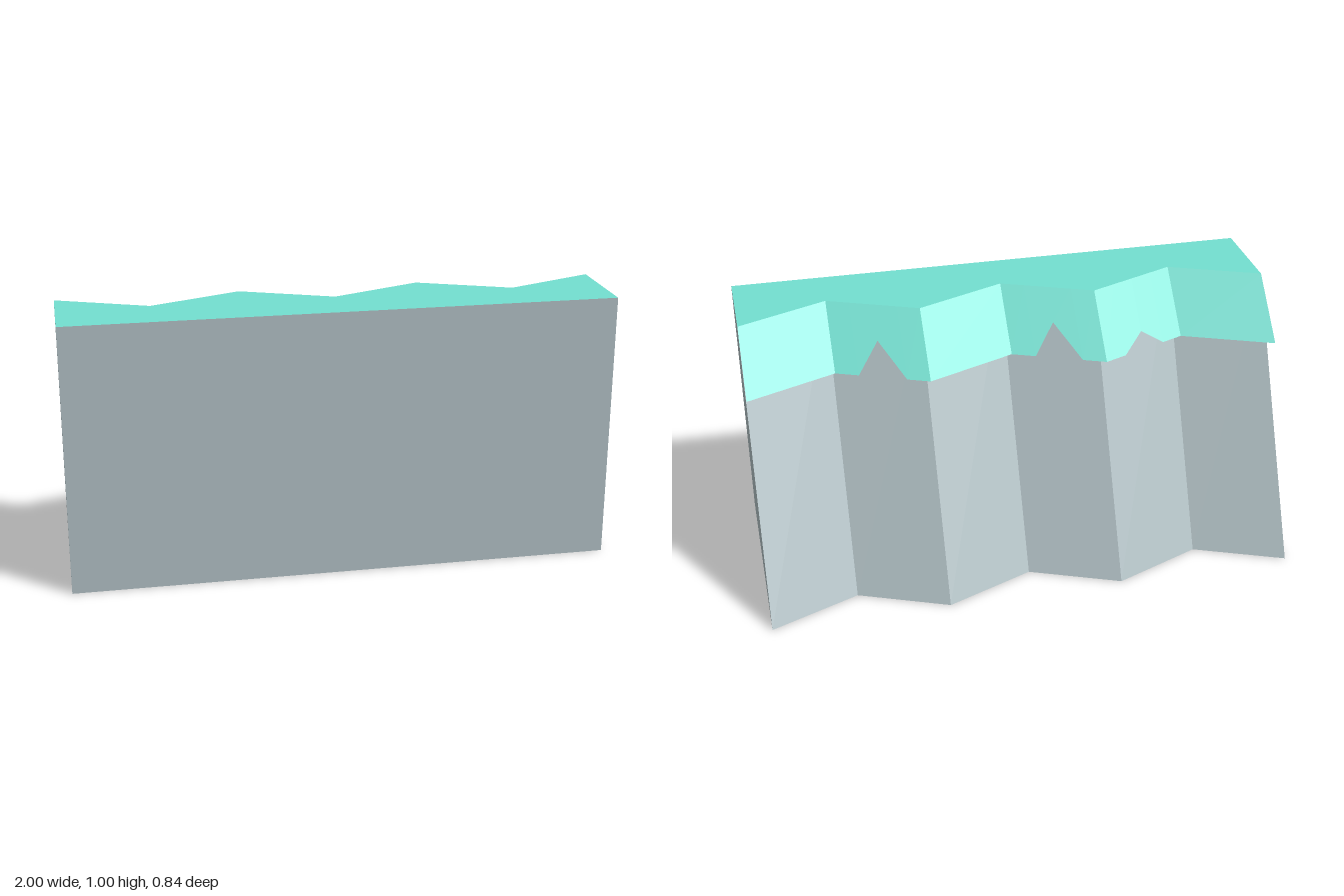
import * as THREE from 'three';

const FRONT = 0.42, HEIGHT = 1;

// Rear line of the cliff top: a zigzag of three ridges across the width
function rimZ(x) {
  const t = (x + 1) * 3;            // zigzag steps, 0 to 6
  const step = Math.abs((t % 2) - 1); // 1 on a ridge, 0 in a fold
  return 0.217 - 0.137 * step;
}

// Rear wall leans out by half its depth below the rim
const rear = (x, y) => [x, y, rimZ(x) - 0.5 * (HEIGHT - y)];
const front = (x, y) => [x, y, FRONT];

// Flat-shaded mesh from quads whose corners run counter-clockwise from outside
function quadMesh(name, quads, material) {
  const positions = quads.flatMap(([a, b, c, d]) => [a, b, c, a, c, d].flat());
  const geometry = new THREE.BufferGeometry();
  geometry.setAttribute('position', new THREE.Float32BufferAttribute(positions, 3));
  geometry.computeVertexNormals();
  const mesh = new THREE.Mesh(geometry, material);
  mesh.name = name;
  return mesh;
}

export function createModel() {
  const group = new THREE.Group();
  group.name = 'cliffBlock';
  const stone = new THREE.MeshStandardMaterial({ name: 'stone grey', color: 0xb0bfc3 });
  const grass = new THREE.MeshStandardMaterial({ name: 'grass teal', color: 0x73dfd0, side: THREE.DoubleSide });

  // Rock body and grass top, one strip per zigzag step
  const rock = [], top = [];
  for (let i = 0; i < 6; i++) {
    const x0 = -1 + i / 3, x1 = -1 + (i + 1) / 3;
    rock.push([rear(x1, 0), rear(x0, 0), rear(x0, HEIGHT), rear(x1, HEIGHT)]);
    rock.push([front(x0, 0), front(x1, 0), front(x1, HEIGHT), front(x0, HEIGHT)]);
    rock.push([rear(x0, 0), rear(x1, 0), front(x1, 0), front(x0, 0)]);
    top.push([front(x0, HEIGHT), front(x1, HEIGHT), rear(x1, HEIGHT), rear(x0, HEIGHT)]);
  }
  // End walls
  const end = (x) => [front(x, 0), rear(x, 0), rear(x, HEIGHT), front(x, HEIGHT)];
  rock.push(end(1), end(-1).reverse());
  group.add(quadMesh('rockBody', rock, stone));
  group.add(quadMesh('grassTop', top, grass));

  // Overhanging grass sheet: [x, drop] along its notched lower edge
  const edge = [
    [-1, 0.2], [-2 / 3, 0.2], [-0.585, 0.2], [-0.5, 0.15], [-0.417, 0.2], [-1 / 3, 0.2],
    [-0.25, 0.2], [-1 / 6, 0.1], [-0.085, 0.2], [0, 0.2], [1 / 3, 0.2],
    [0.415, 0.2], [0.5, 0.1], [0.583, 0.2], [2 / 3, 0.2], [1, 0.2],
  ];
  const hang = ([x, drop]) => [x, HEIGHT - drop, rimZ(x) - drop];
  const overhang = [];
  for (let i = 0; i + 1 < edge.length; i++) {
    const a = edge[i], b = edge[i + 1];
    overhang.push([hang(b), hang(a), rear(a[0], HEIGHT), rear(b[0], HEIGHT)]);
  }
  group.add(quadMesh('grassOverhang', overhang, grass));

  return group;
}
